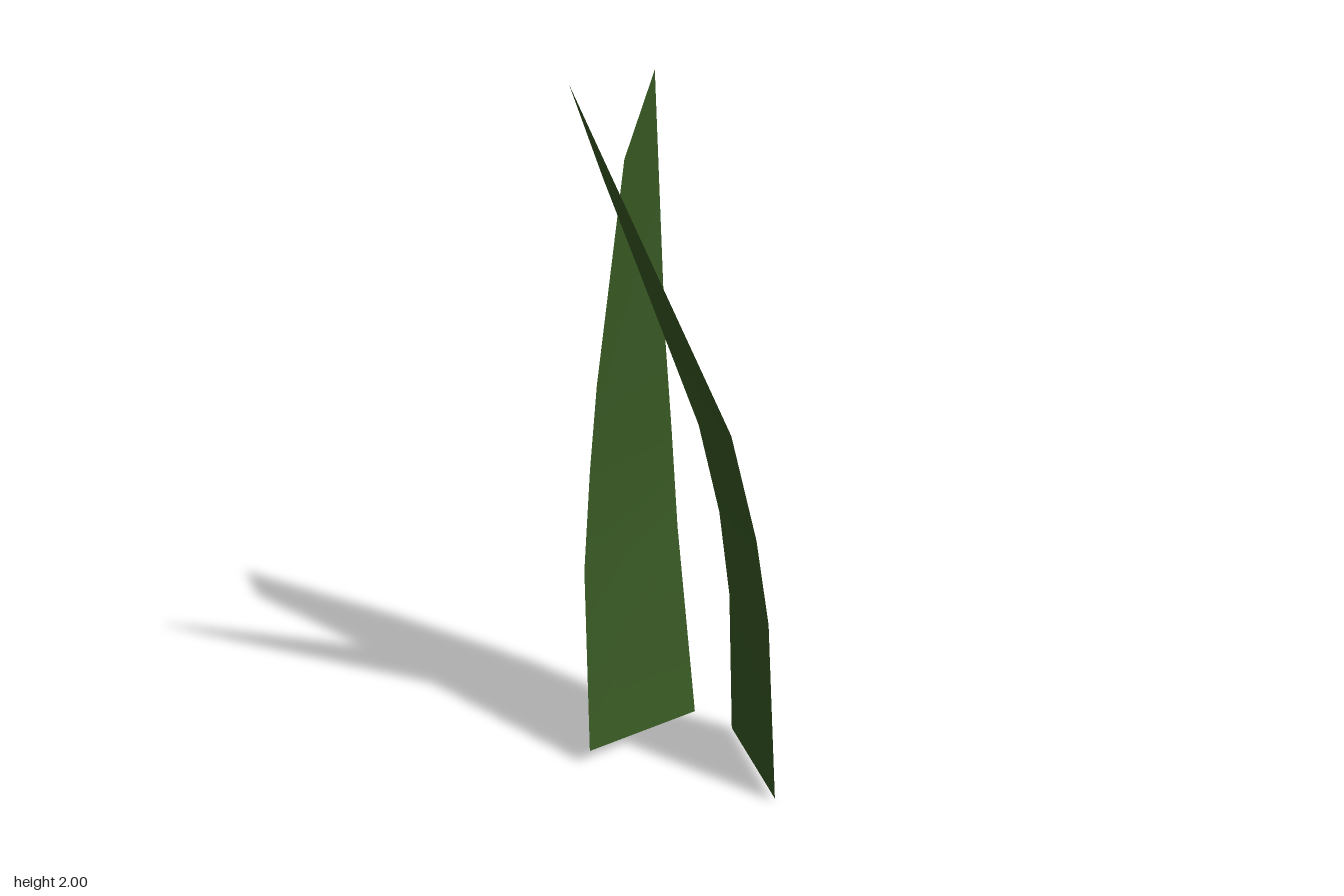
import * as THREE from 'three';

// Thin blade lofted through rows of [left edge point, right edge point]
function makeBlade(name, rows, material) {
  const geometry = new THREE.BufferGeometry();
  const index = [];
  for (let i = 0; i < rows.length - 1; i++) {
    const l = i * 2, r = l + 1;
    index.push(l, r, r + 2, l, r + 2, l + 2);
  }
  geometry.setAttribute('position', new THREE.Float32BufferAttribute(rows.flat(2), 3));
  geometry.setIndex(index);
  geometry.computeVertexNormals();
  const mesh = new THREE.Mesh(geometry, material);
  mesh.name = name;
  return mesh;
}

export function createModel() {
  const group = new THREE.Group();
  group.name = 'grassBlades';
  const green = new THREE.MeshStandardMaterial({ color: 0x3a5c25, side: THREE.DoubleSide });

  // Upright blade at the back, bowed backwards, with a slanted tip
  group.add(makeBlade('uprightBlade', [
    [[-0.178, 0.05, -0.16], [0.163, 0.06, -0.153]],
    [[-0.143, 0.6, -0.228], [0.148, 0.65, -0.227]],
    [[-0.115, 0.9, -0.233], [0.133, 0.95, -0.233]],
    [[-0.088, 1.14, -0.234], [0.117, 1.22, -0.238]],
    [[-0.022, 1.74, -0.191], [0.068, 1.94, -0.2]],
  ], green));

  // Blade at the side, curling over to a sharp point
  group.add(makeBlade('leaningBlade', [
    [[0.183, 0.01, 0.235], [0.255, 0, -0.097]],
    [[0.167, 0.57, 0.2], [0.222, 0.49, -0.073]],
    [[0.14, 0.82, 0.173], [0.18, 0.77, -0.065]],
    [[0.08, 1.12, 0.14], [0.112, 1.05, -0.063]],
    [[-0.255, 2, -0.011], [-0.168, 1.77, -0.029]],
  ], green));

  return group;
}
